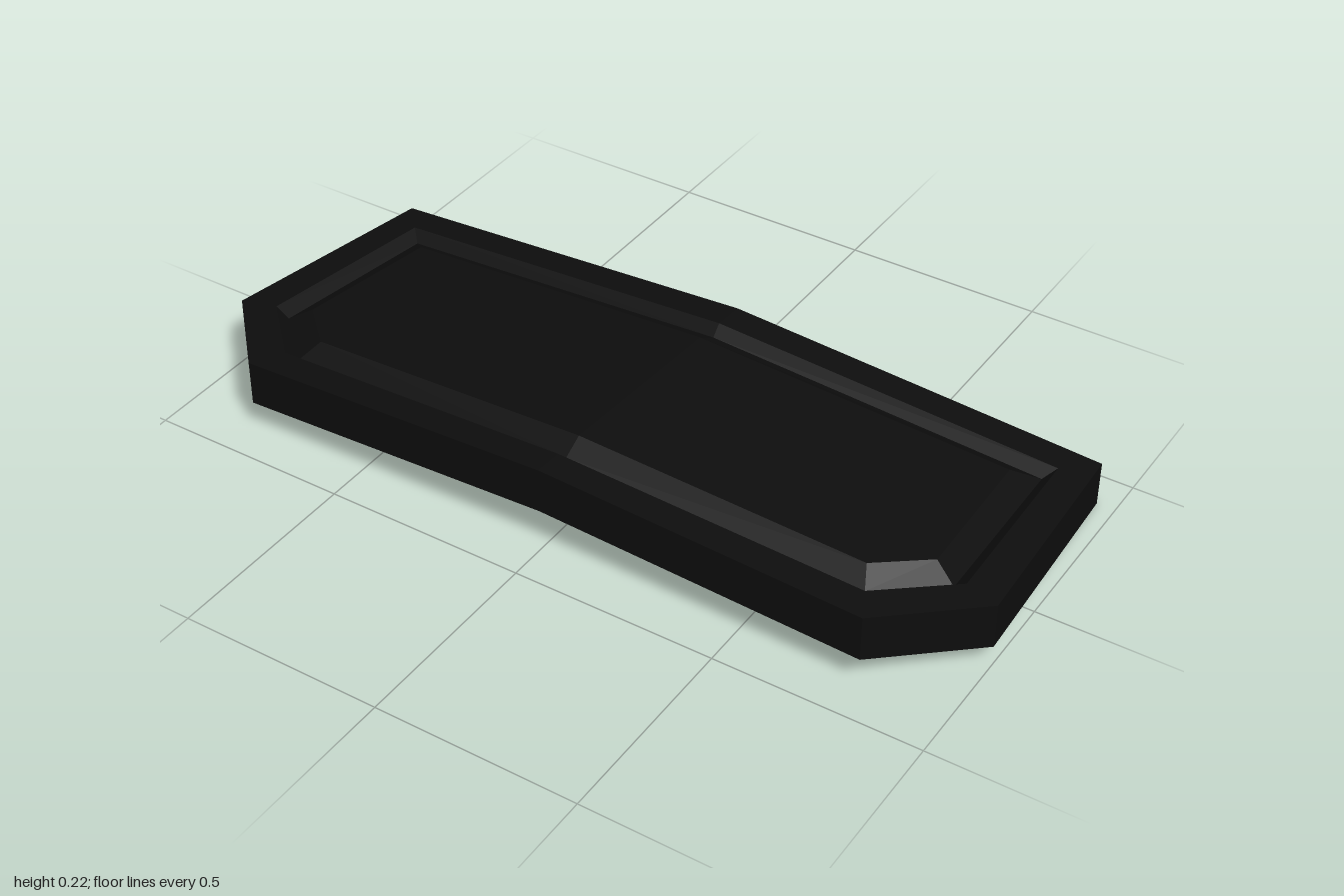
import * as THREE from 'three';

// Half outlines (x, z), running from the back centre round the +x side to the front centre
const OUTER = [[0, -0.418], [0.955, -0.405], [1, 0.2], [0.8, 0.412], [0, 0.407]];
const RIM = [[0, -0.335], [0.885, -0.325], [0.915, 0.175], [0.76, 0.33], [0, 0.33]];
const GROOVE = [[0, -0.31], [0.86, -0.3], [0.885, 0.17], [0.745, 0.3], [0, 0.3]];
const PANEL = [[0, -0.25], [0.805, -0.245], [0.83, 0.145], [0.72, 0.25], [0, 0.25]];
const THICKNESS = 0.113;

// Lifts an outline onto the tilted slab, which bends down on both sides of x = 0
const lift = (outline, h) => outline.map(([x, z]) =>
  [x, 0.081 + 0.075 * z - x * (0.0455 - 0.0145 * z) + h, z]);

// Triangles of a band between two rings of points
function band(lower, upper) {
  const tris = [];
  for (let i = 0; i < lower.length - 1; i++) {
    const a = lower[i], b = lower[i + 1], c = upper[i + 1], d = upper[i];
    tris.push([b, a, d], [b, d, c]);
  }
  return tris;
}

// Triangles that close a ring, facing up or down
function cap(ring, up) {
  const tris = [];
  for (let i = 1; i < ring.length - 1; i++) {
    tris.push(up ? [ring[0], ring[i + 1], ring[i]] : [ring[0], ring[i], ring[i + 1]]);
  }
  return tris;
}

// Mesh from the +x triangles and their mirror image
function mirroredMesh(name, tris, material) {
  const pos = [];
  for (const [a, b, c] of tris) {
    pos.push(...a, ...b, ...c);
    for (const [x, y, z] of [a, c, b]) pos.push(-x, y, z);
  }
  const geometry = new THREE.BufferGeometry();
  geometry.setAttribute('position', new THREE.Float32BufferAttribute(pos, 3));
  geometry.computeVertexNormals();
  const mesh = new THREE.Mesh(geometry, material);
  mesh.name = name;
  return mesh;
}

export function createModel() {
  const black = new THREE.MeshStandardMaterial({ color: 0x0d0d0d });
  black.name = 'matte black';

  const bottom = lift(OUTER, 0);
  const edge = lift(OUTER, THICKNESS);
  const rim = lift(RIM, THICKNESS);
  const groove = lift(GROOVE, THICKNESS - 0.028);
  const panel = lift(PANEL, THICKNESS + 0.004);

  const group = new THREE.Group();
  group.name = 'bentPlate';
  group.add(
    mirroredMesh('underside', cap(bottom, false), black),
    mirroredMesh('sideWalls', band(bottom, edge), black),
    mirroredMesh('rim', band(edge, rim), black),
    mirroredMesh('groove', [...band(rim, groove), ...band(groove, panel)], black),
    mirroredMesh('topPanel', cap(panel, true), black),
  );
  return group;
}
